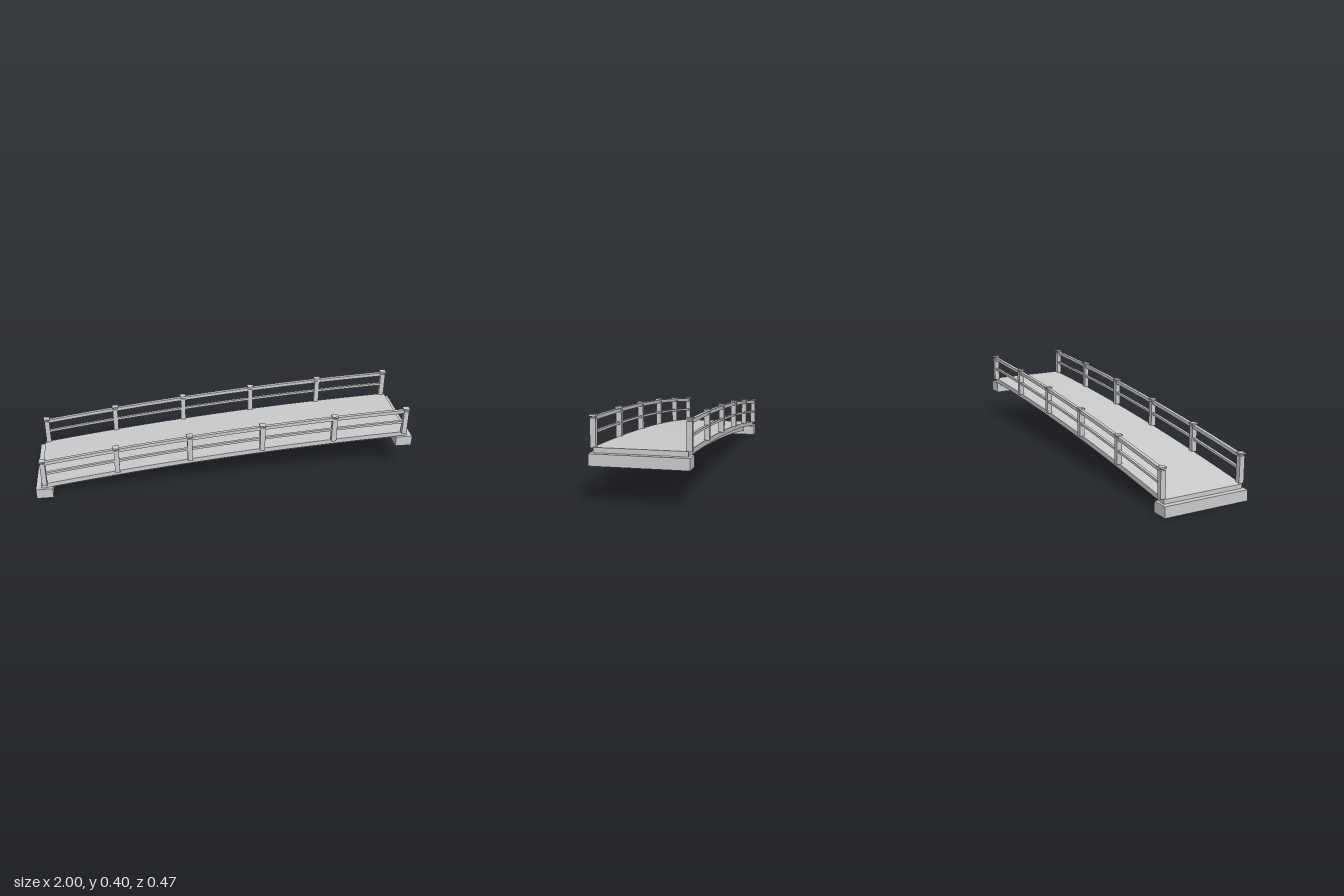
import * as THREE from 'three';

const END = 0.952;   // outermost post position
const POST_Z = 0.217; // railing line

// Rising, slightly arched line of the walkway
const rise = (x) => 0.166 + 0.0937 * x + 0.025 * (1 - (x / END) ** 2);

// Curved bar following the walkway line, between two offsets above it
function curvedBar(halfLength, low, high, width) {
  const steps = 24;
  const pts = [];
  for (let i = 0; i <= steps; i++) {
    const x = -halfLength + (2 * halfLength * i) / steps;
    pts.push(new THREE.Vector2(x, rise(x) + low));
  }
  for (let i = steps; i >= 0; i--) {
    const x = -halfLength + (2 * halfLength * i) / steps;
    pts.push(new THREE.Vector2(x, rise(x) + high));
  }
  const geo = new THREE.ExtrudeGeometry(new THREE.Shape(pts), { depth: width, bevelEnabled: false });
  geo.translate(0, 0, -width / 2);
  return geo;
}

export function createModel() {
  const group = new THREE.Group();
  const stone = new THREE.MeshStandardMaterial({ color: 0xcccccc });
  stone.name = 'light grey';

  const add = (name, geo, x = 0, y = 0, z = 0) => {
    const mesh = new THREE.Mesh(geo, stone);
    mesh.name = name;
    mesh.position.set(x, y, z);
    group.add(mesh);
  };

  // Walkway
  add('deck', curvedBar(0.972, -0.022, 0.003, 0.43));

  // End supports
  const support = new THREE.BoxGeometry(0.087, 0.055, 0.457);
  add('lowerAbutment', support, -0.9565, 0.0275, 0);
  add('upperAbutment', support, 0.9565, 0.2075, 0);

  // Shared parts of both sides
  const beam = curvedBar(0.95, -0.06, -0.022, 0.026);
  const topRail = curvedBar(END, 0.122, 0.14, 0.018);
  const midRail = curvedBar(END, 0.062, 0.074, 0.014);
  const postHeight = 0.133;
  const post = new THREE.BoxGeometry(0.026, postHeight, 0.027);
  const cap = new THREE.BoxGeometry(0.033, 0.008, 0.033);

  for (const side of [1, -1]) {
    const label = side > 0 ? 'front' : 'back';
    add(label + 'Beam', beam, 0, 0, side * 0.149);
    add(label + 'TopRail', topRail, 0, 0, side * POST_Z);
    add(label + 'MidRail', midRail, 0, 0, side * POST_Z);

    // Posts with square caps
    for (let i = 0; i < 6; i++) {
      const x = -END + (2 * END * i) / 5;
      add(label + 'Post', post, x, rise(x) + postHeight / 2, side * POST_Z);
      add(label + 'PostCap', cap, x, rise(x) + 0.1445, side * POST_Z);
    }
  }
  return group;
}
